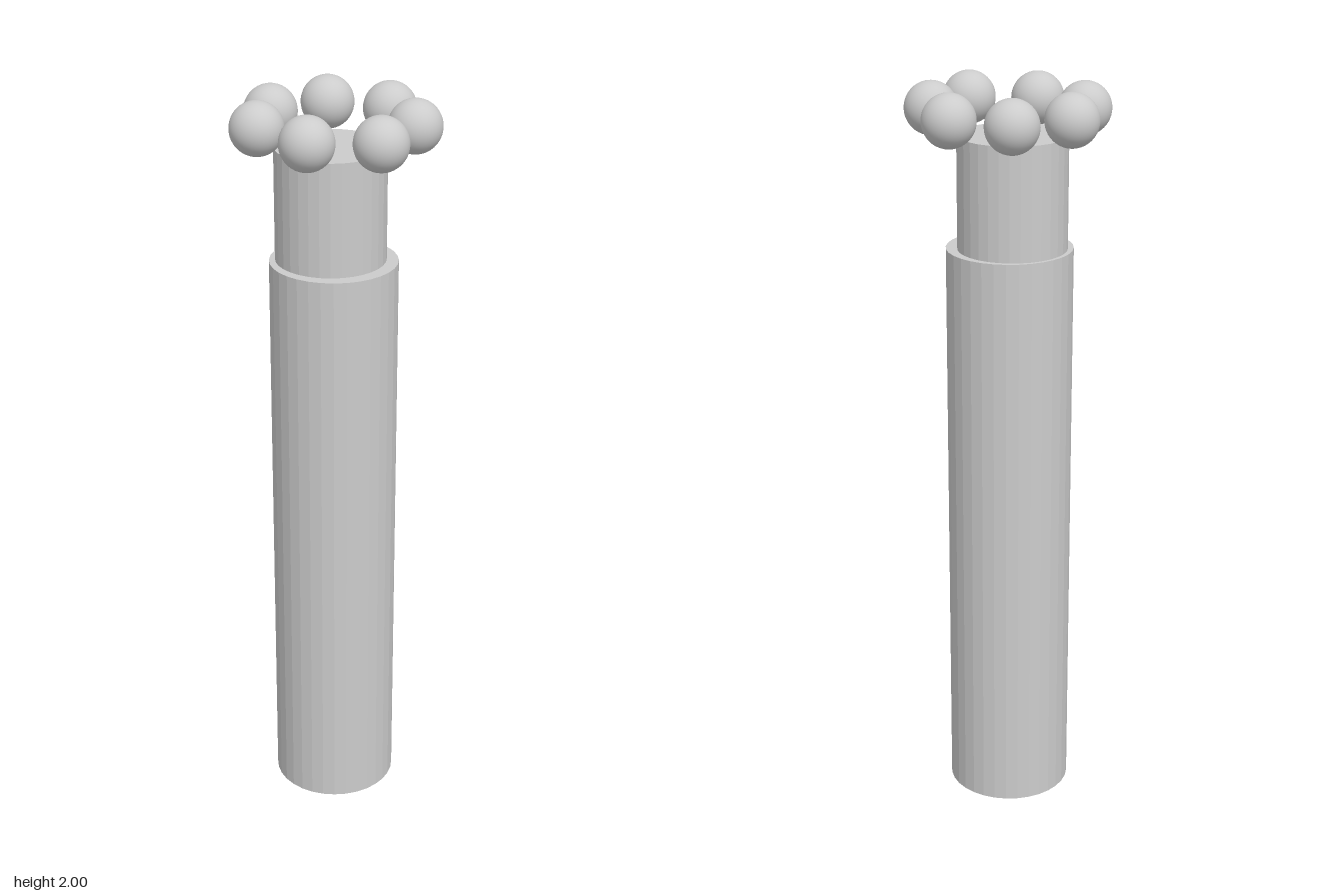
import * as THREE from 'three';

export function createModel() {
  const model = new THREE.Group();
  const smooth = new THREE.MeshStandardMaterial({ color: 0xcccccc });
  const faceted = new THREE.MeshStandardMaterial({ color: 0xcccccc, flatShading: true });

  // Upright cylinder standing between two heights
  function column(name, radius, y0, y1, x, z) {
    const mesh = new THREE.Mesh(new THREE.CylinderGeometry(radius, radius, y1 - y0, 32), faceted);
    mesh.name = name;
    mesh.position.set(x, (y0 + y1) / 2, z);
    model.add(mesh);
  }

  // Main shaft and the slightly off-centre neck on top of it
  column('shaft', 0.167, 0, 1.573, -0.002, 0.018);
  column('neck', 0.144, 1.573, 1.871, -0.015, 0.016);

  // Loose ring of balls around the rim of the neck
  const ballRadius = 0.0695;
  const ballGeometry = new THREE.SphereGeometry(ballRadius, 40, 24);
  const ring = new THREE.Group();
  ring.name = 'ballRing';
  const centres = [
    [0, -0.183], [0.154, -0.112], [0.196, 0.053], [0.068, 0.179],
    [-0.109, 0.179], [-0.197, 0.05], [-0.155, -0.112],
  ];
  centres.forEach(([x, z], i) => {
    const ball = new THREE.Mesh(ballGeometry, smooth);
    ball.name = `ball${i + 1}`;
    ball.position.set(x, 2 - ballRadius, z);
    ring.add(ball);
  });
  model.add(ring);

  return model;
}
